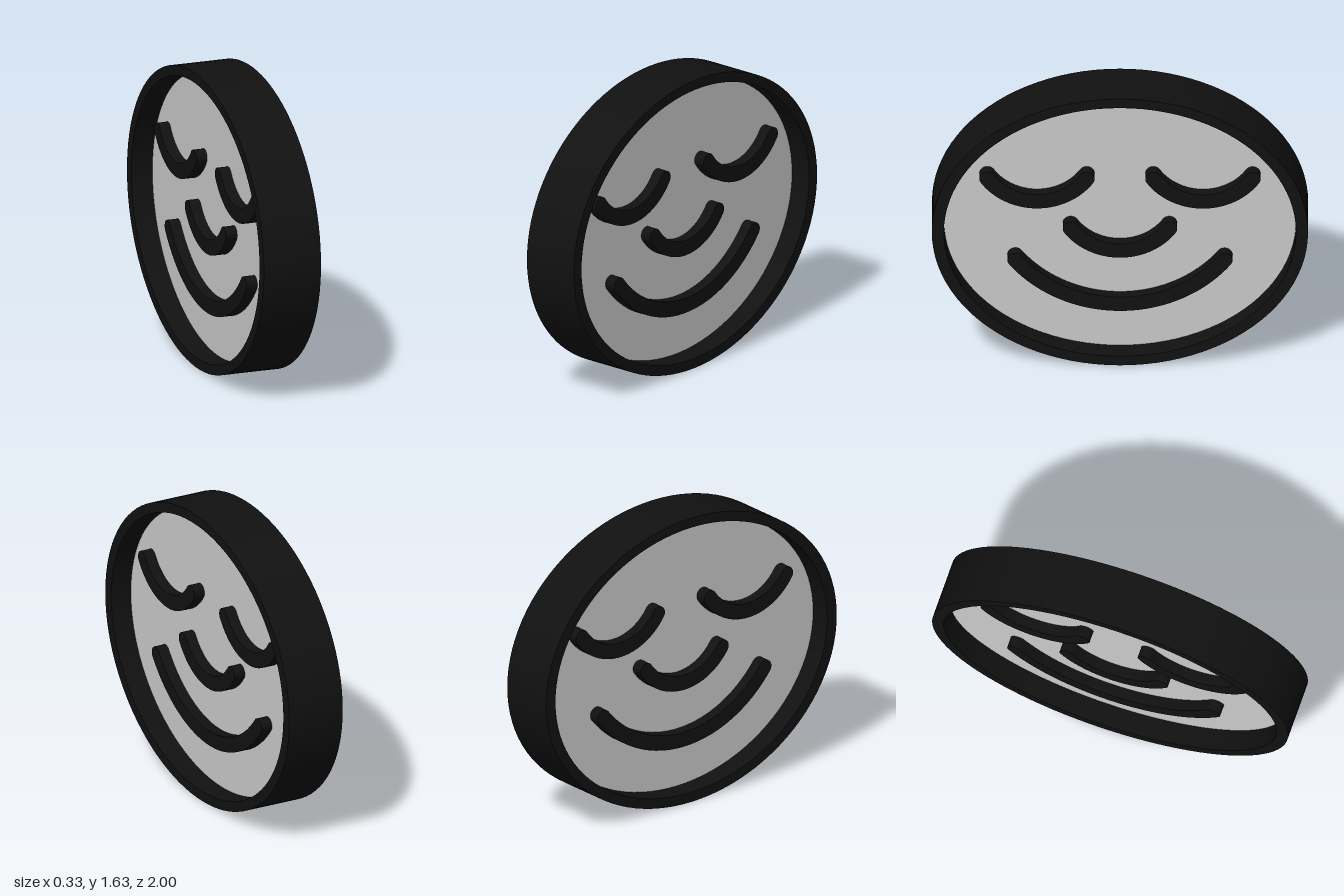
import * as THREE from 'three';
import { toCreasedNormals } from 'three/addons/utils/BufferGeometryUtils.js';

const CENTER_Y = 0.815;
const RIM_HALF = 0.163, PLATE_HALF = 0.043, STROKE_TOP = 0.105;
const STROKE_R = 0.042;

const dark = new THREE.MeshStandardMaterial({ color: 0x111111 });
const grey = new THREE.MeshStandardMaterial({ color: 0xcccccc });

// Extrude a shape from z0 to z1 with smooth curved walls and sharp edges
function slab(name, shape, z0, z1, material, curveSegments) {
  const geo = new THREE.ExtrudeGeometry(shape, { depth: z1 - z0, bevelEnabled: false, curveSegments });
  geo.translate(0, 0, z0);
  const mesh = new THREE.Mesh(toCreasedNormals(geo, 0.6), material);
  mesh.name = name;
  return mesh;
}

function ellipse(a, b, PathType = THREE.Shape) {
  const path = new PathType();
  path.absellipse(0, CENTER_Y, a, b, 0, Math.PI * 2, false, 0);
  return path;
}

// Smile-like arc with round ends: half width w, end height y, depth of curve sag
function arcStroke(cx, y, w, sag) {
  const R = (w * w + sag * sag) / (2 * sag);
  const cy = y - sag + R;
  const half = Math.asin(w / R);
  const a0 = -Math.PI / 2 - half, a1 = -Math.PI / 2 + half;
  const shape = new THREE.Shape();
  shape.absarc(cx, cy, R + STROKE_R, a0, a1, false);
  shape.absarc(cx + w, y, STROKE_R, a1, a1 + Math.PI, false);
  shape.absarc(cx, cy, R - STROKE_R, a1, a0, true);
  shape.absarc(cx - w, y, STROKE_R, a0 + Math.PI, a0 + Math.PI * 2, false);
  return shape;
}

export function createModel() {
  const model = new THREE.Group();
  model.name = 'faceDisc';

  // Parts are drawn in the XY plane, then turned to face the sides
  const body = new THREE.Group();
  body.name = 'body';
  body.rotation.y = Math.PI / 2;
  model.add(body);

  // Oval rim and recessed plate
  const rimShape = ellipse(1, 0.815);
  rimShape.holes.push(ellipse(0.936, 0.76, THREE.Path));
  body.add(slab('rim', rimShape, -RIM_HALF, RIM_HALF, dark, 48));
  body.add(slab('plate', ellipse(0.94, 0.764), -PLATE_HALF, PLATE_HALF, grey, 48));

  // Raised features: centre, end height, half width, sag
  const features = [
    ['leftEye', -0.441, 1.107, 0.264, 0.138],
    ['rightEye', 0.441, 1.107, 0.264, 0.138],
    ['nose', 0, 0.803, 0.262, 0.135],
    ['mouth', 0, 0.61, 0.556, 0.268],
  ];

  // The same face on both sides
  ['Right', 'Left'].forEach((side, i) => {
    const face = new THREE.Group();
    face.name = 'face' + side;
    face.rotation.y = i * Math.PI;
    for (const [name, ...dims] of features) {
      face.add(slab(name, arcStroke(...dims), PLATE_HALF - 0.01, STROKE_TOP, dark, 20));
    }
    body.add(face);
  });

  return model;
}
